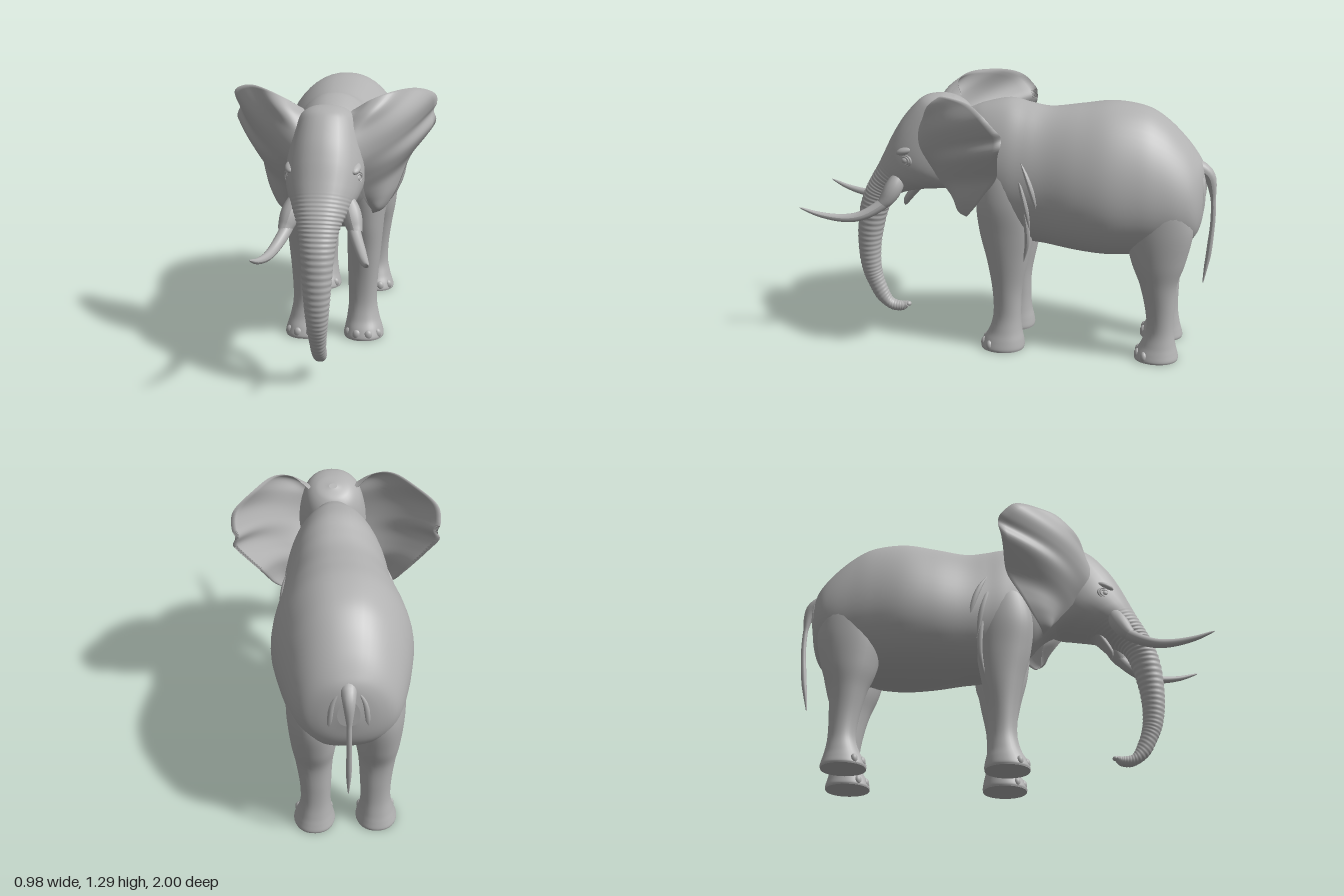
import * as THREE from 'three';

const hide = new THREE.MeshStandardMaterial({ color: 0xb2b2b2, side: THREE.DoubleSide });
hide.name = 'grey hide';
const V = (x, y, z) => new THREE.Vector3(x, y, z);
const spline = (pts) => new THREE.CatmullRomCurve3(pts, false, 'catmullrom', 0.5);

// Loft through rings. Section: [front z, front y, back z, back y, half width, centre x].
function loft(sections, { steps = 6, sides = 32, egg = 0, ripple = null } = {}) {
  const front = spline(sections.map(([fz, fy, , , w]) => V(w, fy, fz)));
  const back = spline(sections.map(([, , bz, by, , cx = 0]) => V(cx, by, bz)));
  const rows = (sections.length - 1) * steps;
  const pos = [], index = [];
  const ring = (r) => {
    const t = r / rows, f = front.getPoint(t), b = back.getPoint(t);
    const k = ripple ? ripple(t * (sections.length - 1)) : 1;
    const cy = (f.y + b.y) / 2, cz = (f.z + b.z) / 2;
    for (let i = 0; i < sides; i++) {
      const a = (i / sides) * Math.PI * 2;
      const c = Math.sign(Math.cos(a)) * Math.abs(Math.cos(a)) ** 0.9;
      const s = Math.sin(a);
      pos.push(b.x + f.x * k * c * (1 - egg * s), cy + (f.y - cy) * s * k, cz + (f.z - cz) * s * k);
    }
    return [b.x, cy, cz];
  };
  for (let r = 0; r <= rows; r++) ring(r);
  for (let r = 0; r < rows; r++) for (let i = 0; i < sides; i++) {
    const a = r * sides + i, b = r * sides + (i + 1) % sides;
    index.push(a, b, a + sides, b, b + sides, a + sides);
  }
  // separate cap rings keep the end edges crisp
  for (const r of [0, rows]) {
    const base = pos.length / 3;
    pos.push(...ring(r));
    for (let i = 0; i < sides; i++) {
      const a = base + i, b = base + (i + 1) % sides;
      if (r) index.push(a, b, base + sides); else index.push(b, a, base + sides);
    }
  }
  // turn the faces outward if the volume comes out negative
  let volume = 0;
  const p = (i) => V(pos[3 * i], pos[3 * i + 1], pos[3 * i + 2]);
  for (let i = 0; i < index.length; i += 3) volume += p(index[i]).dot(p(index[i + 1]).cross(p(index[i + 2])));
  if (volume < 0) index.reverse();
  return finish(pos, index);
}

function finish(pos, index) {
  const g = new THREE.BufferGeometry();
  g.setAttribute('position', new THREE.Float32BufferAttribute(pos, 3));
  g.setIndex(index);
  g.computeVertexNormals();
  return g;
}

// Tube whose radius follows a function of 0..1
function taper(points, radius, seg = 40, sides = 16) {
  const curve = spline(points), g = new THREE.TubeGeometry(curve, seg, 1, sides);
  const p = g.attributes.position, v = V(0, 0, 0);
  for (let i = 0; i < p.count; i++) {
    const t = Math.floor(i / (sides + 1)) / seg, c = curve.getPointAt(t);
    v.fromBufferAttribute(p, i).sub(c).multiplyScalar(radius(t)).add(c);
    p.setXYZ(i, v.x, v.y, v.z);
  }
  g.computeVertexNormals();
  return g;
}

// Ear: two sheets spanning from the root line to the rim, joined at the rim
function earGeometry(side) {
  const root = spline([V(.1, 1.19, .33), V(.13, 1.12, .41), V(.155, 1.0, .42), V(.165, .88, .34), V(.175, .78, .26), V(.2, .7, .2)]);
  const rim = spline([V(.12, 1.2, .27), V(.2, 1.255, .3), V(.3, 1.285, .25), V(.4, 1.279, .12), V(.475, 1.24, .02),
    V(.488, 1.18, -.035), V(.478, 1.14, -.04), V(.484, 1.09, -.045), V(.43, 1.01, -.03), V(.375, .93, 0), V(.338, .85, .05),
    V(.3, .77, .1), V(.25, .7, .16), V(.2, .68, .18)]);
  const pos = [], index = [], n = 78, m = 16;
  for (let i = 0; i <= n; i++) {
    const s = i / n, a = root.getPoint(s), b = rim.getPoint(s);
    const mid = Math.sin(Math.PI * s);
    for (let j = 0; j <= 2 * m; j++) {
      const t = 1 - Math.abs(j - m) / m;
      let push = 0.06 * Math.sin(Math.PI * t) * mid ** 0.7;
      push += 0.011 * Math.sin(s * 24) * t * mid;
      if (j > m) push -= 0.006 + 0.1 * (1 - t) * mid;
      const q = a.clone().lerp(b, t).add(V(.42, 0, .9).multiplyScalar(push));
      pos.push(side * q.x, q.y, q.z);
    }
  }
  const w = 2 * m + 1;
  for (let i = 0; i < n; i++) for (let j = 0; j < 2 * m; j++) {
    const a = i * w + j, b = a + w;
    if (side > 0) index.push(a, b, a + 1, b, b + 1, a + 1);
    else index.push(a, a + 1, b, b, a + 1, b + 1);
  }
  return finish(pos, index);
}

export function createModel() {
  const model = new THREE.Group();
  const add = (name, geometry) => {
    const mesh = new THREE.Mesh(geometry, hide);
    mesh.name = name;
    model.add(mesh);
    return mesh;
  };
  const ball = (name, x, y, z, sx, sy, sz) => {
    const mesh = add(name, new THREE.SphereGeometry(1, 20, 14));
    mesh.position.set(x, y, z);
    mesh.scale.set(sx, sy, sz);
    return mesh;
  };

  // Trunk of the body: [z, top, bottom, half width]
  add('body', loft([
    [.3, 1.14, .79, .11], [.2, 1.17, .74, .14], [.12, 1.2, .66, .205], [0, 1.225, .56, .243], [-.1, 1.205, .53, .258],
    [-.2, 1.19, .52, .275], [-.35, 1.21, .5, .31], [-.5, 1.23, .49, .323], [-.65, 1.21, .5, .3], [-.75, 1.155, .51, .275],
    [-.84, 1.07, .54, .245], [-.9, .995, .59, .205], [-.93, .945, .65, .14], [-.945, .88, .74, .05],
  ].map(([z, top, bottom, w]) => [z, top, z, bottom, w]), { sides: 48, egg: 0.12 }));

  // Head flowing into the ringed trunk
  const ringed = (k) => 1 + 0.022 * Math.min(1, Math.max(0, (k - 6.5) / 2)) * Math.sin(k * Math.PI * 8);
  add('headAndTrunk', loft([
    [.275, 1.222, .25, 1.21, .02], [.34, 1.232, .2, 1.17, .085], [.41, 1.222, .17, 1.1, .13], [.46, 1.19, .16, .98, .155],
    [.53, 1.11, .18, .86, .175], [.58, 1.03, .24, .78, .18], [.625, .94, .34, .765, .163], [.66, .87, .43, .755, .138],
    [.7, .8, .53, .73, .108], [.735, .73, .59, .69, .088], [.765, .64, .625, .62, .076], [.78, .52, .655, .51, .067],
    [.78, .4, .67, .41, .058], [.765, .3, .67, .32, .049], [.735, .22, .66, .26, .041], [.69, .14, .635, .19, .034],
    [.62, .09, .61, .145, .03], [.56, .088, .565, .135, .026], [.53, .11, .54, .138, .021],
  ], { steps: 20, ripple: ringed }));
  ball('trunkTip', 0, .125, .53, .015, .012, .014);

  // Lower jaw
  add('lowerJaw', loft([
    [.22, .95, .22, .79, .11], [.33, .92, .33, .768, .115], [.42, .86, .43, .755, .08], [.49, .77, .48, .71, .05],
    [.535, .7, .515, .67, .03], [.54, .67, .53, .655, .012],
  ]));

  // Tail, thick where it leaves the rump
  add('tail', taper([V(0, .93, -.86), V(0, .92, -.925), V(0, .865, -.97), V(0, .7, -.987), V(0, .52, -.976), V(0, .43, -.964), V(0, .35, -.953)],
    (t) => t < .6 ? .012 + .034 * Math.max(0, 1 - t / .35) : .012 + .005 * Math.sin((t - .6) * 7.85) - .024 * (t - .6)));

  // Legs: [y, front z, back z, half width, centre x]
  const legs = {
    frontLeg: [[.98, .05, -.05, .03, .18], [.88, .1, -.1, .068, .175], [.75, .132, -.135, .09, .165], [.6, .12, -.14, .09, .152],
      [.45, .085, -.115, .083, .145], [.3, .06, -.085, .074, .14], [.18, .055, -.08, .07, .14], [.1, .073, -.085, .08, .143],
      [.05, .1, -.095, .092, .146], [.015, .115, -.1, .1, .147], [0, .114, -.098, .098, .147]],
    hindLeg: [[.95, -.68, -.76, .03, .17], [.82, -.61, -.87, .095, .163], [.67, -.58, -.905, .115, .152], [.5, -.615, -.875, .105, .147],
      [.38, -.66, -.838, .086, .145], [.25, -.69, -.83, .073, .14], [.15, -.698, -.83, .07, .14], [.08, -.675, -.84, .08, .143],
      [.04, -.653, -.85, .09, .145], [.012, -.643, -.857, .097, .146], [0, -.644, -.855, .095, .146]],
  };

  for (const side of [1, -1]) {
    const label = side > 0 ? 'left' : 'right';
    for (const [name, rows] of Object.entries(legs)) {
      add(`${label} ${name}`, loft(rows.map(([y, f, b, w, x]) => [f, y, b, y, w, side * x])));
      // Toenails round the front of the foot
      const foot = rows[rows.length - 2], cz = (foot[1] + foot[2]) / 2, rz = (foot[1] - foot[2]) / 2;
      for (const a of [-.95, -.33, .33, .95])
        ball(`${label} ${name} toenail`, side * foot[4] + Math.sin(a) * foot[3] * .86, .026, cz + Math.cos(a) * rz * .86, .022, .026, .018);
    }

    add(`${label} ear`, earGeometry(side));

    // Tusk and the fleshy socket it grows from
    add(`${label} tusk`, taper([V(.135, .76, .55), V(.16, .7, .61), V(.193, .65, .7), V(.215, .638, .79), V(.235, .655, .9), V(.25, .69, 1)]
      .map((p) => V(side * p.x, p.y, p.z)), (t) => .031 * (1 - t) ** .6 + .001));
    add(`${label} tuskSocket`, taper([V(.115, .84, .53), V(.135, .79, .55), V(.152, .735, .58), V(.163, .705, .603)]
      .map((p) => V(side * p.x, p.y, p.z)), (t) => .022 + .022 * Math.sin(Math.PI * (.15 + .75 * t))));

    // Eye, lids and brow
    ball(`${label} eye`, side * .155, .93, .485, .016, .018, .02);
    for (const r of [.024, .036]) {
      const lid = add(`${label} eyelid`, new THREE.TorusGeometry(r, .006, 8, 28));
      lid.position.set(side * (.168 - r * .25), .93, .485);
      lid.rotation.y = side * 1.1;
      lid.scale.y = .75;
    }
    const brow = ball(`${label} brow`, side * .143, .975, .485, .03, .02, .05);
    brow.rotation.x = .3;

    // Skin folds behind the shoulder
    const folds = [
      [V(.23, .98, -.09), V(.257, .9, -.13), V(.263, .8, -.165), V(.242, .68, -.19)],
      [V(.23, .94, -.07), V(.252, .85, -.1), V(.256, .75, -.125), V(.235, .64, -.14)],
      [V(.235, .8, -.09), V(.24, .7, -.12), V(.22, .58, -.125), V(.188, .46, -.1)],
    ];
    for (const f of folds)
      add(`${label} skinFold`, taper(f.map((p) => V(side * p.x, p.y, p.z)), (t) => .002 + .012 * Math.sin(Math.PI * t), 24, 10));

    // Creases beside the tail
    add(`${label} rumpFold`, taper([V(side * .03, .94, -.925), V(side * .07, .86, -.935), V(side * .085, .74, -.925), V(side * .1, .62, -.885)],
      (t) => .002 + .013 * Math.sin(Math.PI * t), 24, 10));
  }
  return model;
}
